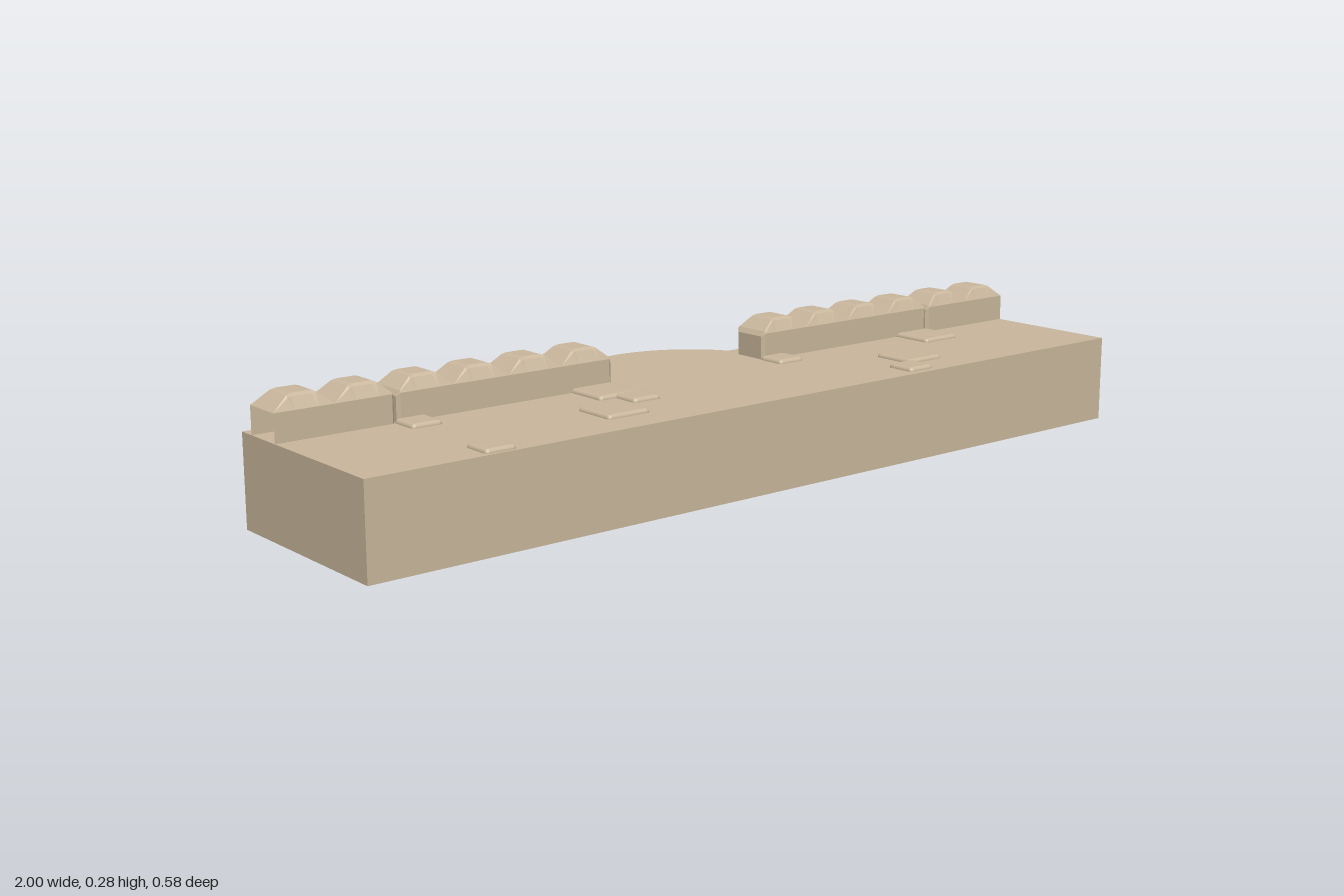
import * as THREE from 'three';
import { RoundedBoxGeometry } from 'three/addons/geometries/RoundedBoxGeometry.js';

const sandstone = new THREE.MeshStandardMaterial({ color: 0xcab89d, side: THREE.DoubleSide });
sandstone.name = 'sandstone';

const TOP = 0.195, FRONT = 0.288, BACK = -0.164;
const ARC_Z = -0.034, ARC_R = 0.256, WALL = 0.05;

function add(parent, name, geometry, x = 0, y = 0, z = 0) {
  const mesh = new THREE.Mesh(geometry, sandstone);
  mesh.name = name;
  mesh.position.set(x, y, z);
  parent.add(mesh);
  return mesh;
}

// Plan curve of the back edge with its round bastion, from +x to -x (plan y = -z)
function backEdge(offset) {
  const r = ARC_R - offset, s = -BACK - offset;
  const a = Math.asin((s + ARC_Z) / r), points = [new THREE.Vector2(1, s)];
  for (let i = 0; i <= 32; i++) {
    const t = a + (Math.PI - 2 * a) * i / 32;
    points.push(new THREE.Vector2(r * Math.cos(t), r * Math.sin(t) - ARC_Z));
  }
  points.push(new THREE.Vector2(-1, s));
  return points;
}

// Hollow parapet block lofted along x, with one bevelled bump per unit
function parapetBlock(x0, x1, bumps, openOuterEnd) {
  const zc = -0.079, half = 0.046, low = 0.254, high = 0.284;
  const section = (x, top, inset, pinch) => {
    const w = half - pinch, shoulder = low - pinch;
    const side = [[w, TOP], [w, shoulder], [w - inset * 0.7, shoulder + (top - low) * 0.8], [w - inset, top - pinch]];
    const other = side.map(([z, y]) => [-z, y]).reverse();
    return [...side, ...other].map(([z, y]) => [x, y, zc + z]);
  };
  const cap = x => section(x, low, 0, 0.007).map(([px, y]) => [px, Math.min(y, 0.24), zc]);
  const step = (x1 - x0) / bumps, rings = [];
  rings.push(cap(x0), section(x0, low, 0, 0.007), section(x0 + 0.007, low + 0.004, 0.003, 0));
  for (let i = 0; i < bumps; i++) {
    const x = x0 + i * step;
    if (i) rings.push(section(x, low, 0.001, 0));
    rings.push(section(x + step * 0.27, high - 0.003, 0.014, 0), section(x + step * 0.34, high, 0.017, 0));
    rings.push(section(x + step * 0.66, high, 0.017, 0), section(x + step * 0.73, high - 0.003, 0.014, 0));
  }
  if (openOuterEnd) rings.push(section(x1, low, 0.001, 0));
  else rings.push(section(x1 - 0.007, low + 0.004, 0.003, 0), section(x1, low, 0, 0.007), cap(x1));

  const positions = [];
  for (let i = 0; i < rings.length - 1; i++) {
    for (let j = 0; j < 7; j++) {
      const a = rings[i][j], b = rings[i + 1][j], c = rings[i + 1][j + 1], d = rings[i][j + 1];
      positions.push(...a, ...b, ...c, ...a, ...c, ...d);
    }
  }
  const geometry = new THREE.BufferGeometry();
  geometry.setAttribute('position', new THREE.Float32BufferAttribute(positions, 3));
  geometry.computeVertexNormals();
  return geometry;
}

export function createModel() {
  const model = new THREE.Group();
  model.name = 'rampart';

  // Walkway deck
  const deck = new THREE.ShapeGeometry(new THREE.Shape([
    new THREE.Vector2(-1, -FRONT), new THREE.Vector2(1, -FRONT), ...backEdge(0)]));
  add(model, 'walkway', deck.rotateX(-Math.PI / 2), 0, TOP, 0);

  // Thin front and end walls, open underneath
  add(model, 'frontWall', new THREE.PlaneGeometry(2, TOP), 0, TOP / 2, FRONT);
  for (const s of [-1, 1]) {
    const end = new THREE.PlaneGeometry(FRONT - BACK, TOP).rotateY(s * Math.PI / 2);
    add(model, 'endWall', end, s, TOP / 2, (FRONT + BACK) / 2);
  }

  // Thick back wall following the bastion
  const wallShape = new THREE.Shape([...backEdge(0), ...backEdge(WALL).reverse()]);
  const wall = new THREE.ExtrudeGeometry(wallShape, { depth: TOP - 0.001, bevelEnabled: false });
  add(model, 'backWall', wall.rotateX(-Math.PI / 2));

  // Crenellated parapets, mirrored on both sides
  for (const s of [-1, 1]) {
    const parapet = new THREE.Group();
    parapet.name = s > 0 ? 'leftParapet' : 'rightParapet';
    parapet.scale.x = s;
    add(parapet, 'longParapetBlock', parapetBlock(0.212, 0.734, 4, false));
    add(parapet, 'shortParapetBlock', parapetBlock(0.739, 1, 2, true));
    model.add(parapet);
  }

  // Paving stones set through the deck: x, z, width
  const stones = [
    [-0.705, -0.006, 0.07], [-0.264, 0.011, 0.107], [-0.241, 0.09, 0.07],
    [-0.353, 0.157, 0.104], [-0.705, 0.246, 0.07], [0.244, -0.006, 0.07],
    [0.689, 0.012, 0.104], [0.484, 0.156, 0.104], [0.407, 0.237, 0.07],
  ];
  for (const [x, z, w] of stones) {
    add(model, 'pavingStone', new RoundedBoxGeometry(w, 0.064, w, 2, 0.009), x, 0.172, z);
  }
  return model;
}
